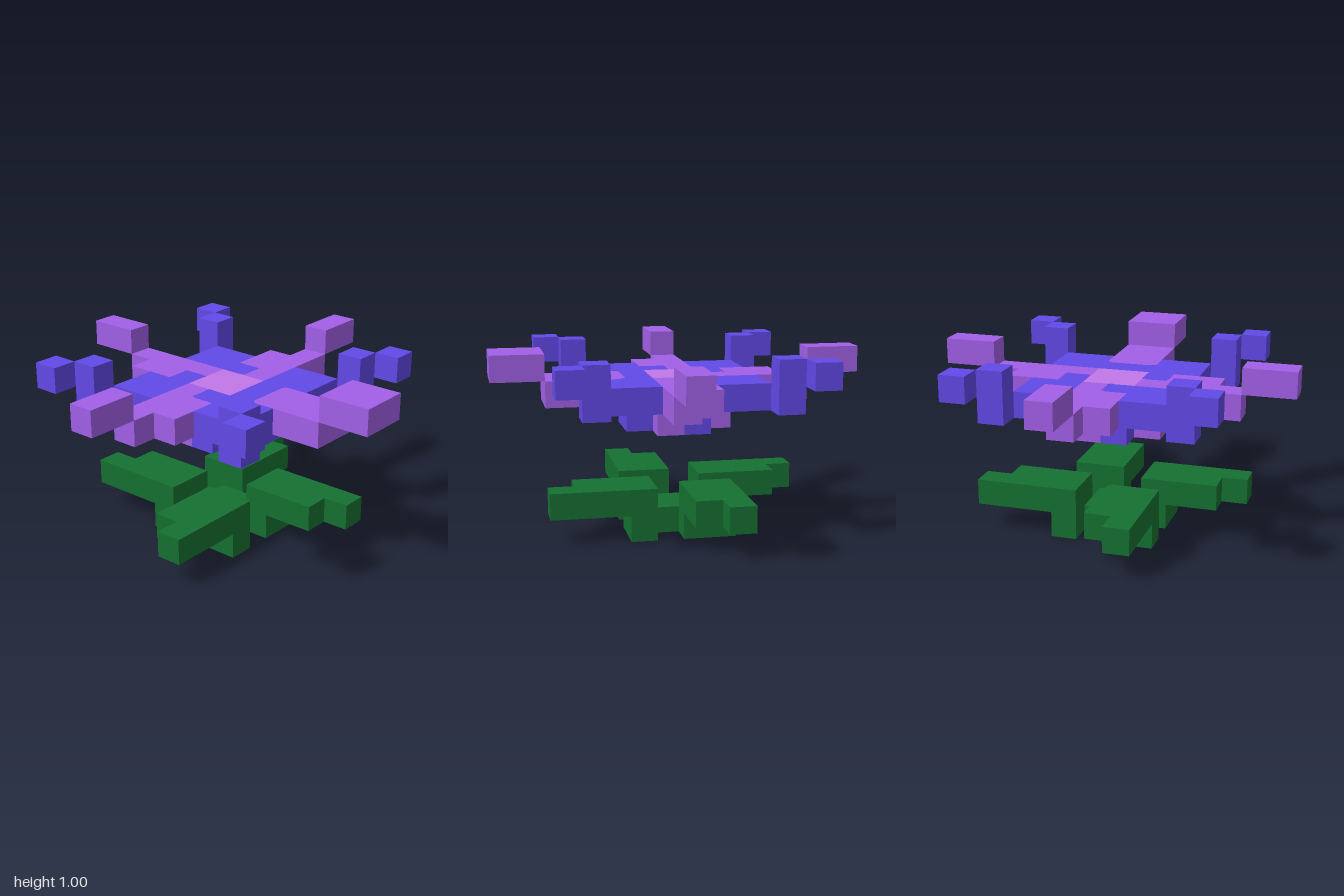
import * as THREE from 'three';

const U = 1 / 7; // one block

const flat = (name, color) => {
  const m = new THREE.MeshStandardMaterial({ color });
  m.name = name;
  return m;
};

export function createModel() {
  const blue = flat('petal blue', 0x6249e9);
  const purple = flat('petal purple', 0xa260e8);
  const pink = flat('centre pink', 0xc277e8);
  const green = flat('leaf green', 0x157031);

  const root = new THREE.Group();
  root.name = 'blockFlower';

  // box between block coordinates, each range given as [min, max]
  const block = (parent, name, mat, [x0, x1], [y0, y1], [z0, z1]) => {
    const geo = new THREE.BoxGeometry((x1 - x0) * U, (y1 - y0) * U, (z1 - z0) * U);
    const mesh = new THREE.Mesh(geo, mat);
    mesh.name = name;
    mesh.position.set((x0 + x1) * U / 2, (y0 + y1) * U / 2, (z0 + z1) * U / 2);
    parent.add(mesh);
  };

  // thin painted plate that rounds off a colour corner on the flower's top
  const roundCorner = (parent, mat, x, z, sx, sz) => {
    const r = 0.03, thick = 0.002;
    const shape = new THREE.Shape();
    shape.moveTo(0, 0);
    shape.lineTo(sx * r, 0);
    shape.quadraticCurveTo(0, 0, 0, sz * r);
    const geo = new THREE.ExtrudeGeometry(shape, { depth: thick, bevelEnabled: false, curveSegments: 5 });
    geo.rotateX(Math.PI / 2);
    const mesh = new THREE.Mesh(geo, mat);
    mesh.name = 'roundedColourCorner';
    mesh.position.set(x * U, 6 * U + thick, z * U);
    parent.add(mesh);
  };

  const quarter = (name, k) => {
    const g = new THREE.Group();
    g.name = name;
    g.rotation.y = -k * Math.PI / 2;
    root.add(g);
    return g;
  };

  // flower centre and the base joining the leaves
  block(root, 'flowerCentre', pink, [-1, 1], [4, 6], [-1, 1]);
  block(root, 'leafBase', green, [-1, 1], [0, 1], [-1, 1]);

  for (let k = 0; k < 4; k++) {
    // long petals; the one on the left side (k = 2) is full width
    const petal = quarter('longPetal', k);
    const wide = k === 2;
    block(petal, 'petalRoot', wide ? blue : purple, [-2, -1], [4, 6], [-1, 0]);
    block(petal, 'petalRoot', blue, [-2, -1], [4, 6], [0, 1]);
    if (wide) {
      block(petal, 'petalBlade', purple, [-5, -2], [5, 6], [-1, 1]);
      block(petal, 'petalTip', purple, [-7, -5], [6, 7], [-1, 1]);
      roundCorner(petal, blue, -2, -1, -1, 1);
      roundCorner(petal, blue, -2, 1, -1, -1);
    } else {
      block(petal, 'petalBlade', purple, [-5, -2], [5, 6], [-1, 0]);
      block(petal, 'petalBladeSide', purple, [-4, -2], [5, 6], [0, 1]);
      block(petal, 'petalTip', purple, [-7, -5], [6, 7], [-1, 0]);
      roundCorner(petal, purple, -2, 0, 1, 1);
      roundCorner(petal, purple, -1, 0, -1, 1);
    }

    // diagonal petals with stepped tips
    const corner = quarter('cornerPetal', k);
    block(corner, 'cornerPetalBlade', blue, [-3, -1], [5, 6], [-3, -1]);
    block(corner, 'cornerPetalPost', blue, [-4, -3], [5, 7], [-4, -3]);
    block(corner, 'cornerPetalTip', blue, [-5, -4], [6, 7], [-5, -4]);

    // pinwheel leaves
    const leaf = quarter('leaf', k);
    block(leaf, 'leafRoot', green, [-2, -1], [0, 1], [0, 2]);
    block(leaf, 'leafBlade', green, [-4, -1], [1, 2], [0, 2]);
    block(leaf, 'leafTip', green, [-5, -4], [1, 2], [1, 2]);
  }
  return root;
}
